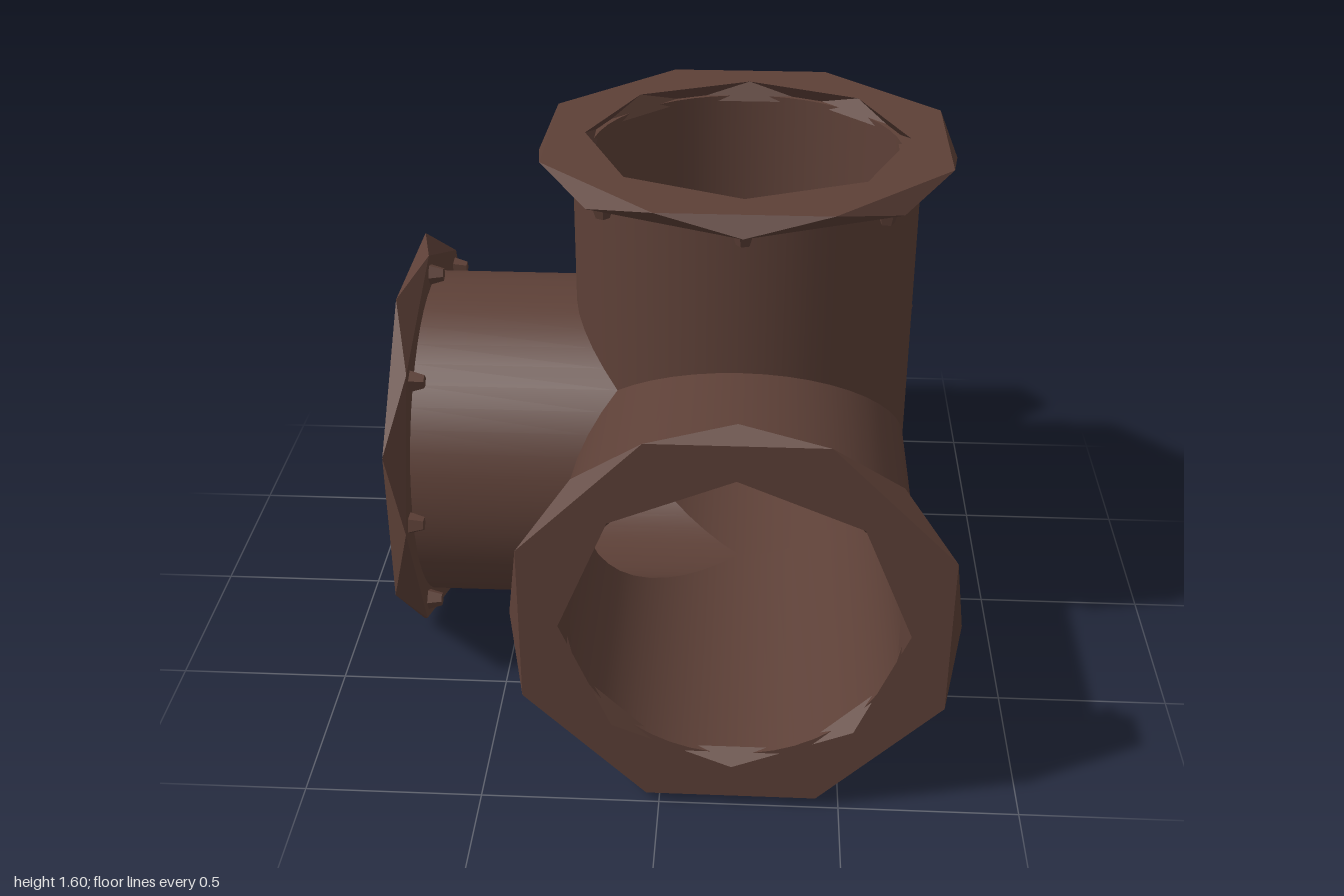
import * as THREE from 'three';

const OUTER = 0.5, INNER = 0.45, PIPE_END = 0.96, SIDES = 8, SEGMENTS = 48;

const brown = new THREE.MeshStandardMaterial({ color: 0x5d4037 });
brown.name = 'rusty brown';

// The four arms of the junction, each one unit long
const arms = [
  { name: 'frontArm', dir: new THREE.Vector3(0, 0, 1) },
  { name: 'backArm', dir: new THREE.Vector3(0, 0, -1) },
  { name: 'rightArm', dir: new THREE.Vector3(-1, 0, 0) },
  { name: 'topArm', dir: new THREE.Vector3(0, 1, 0) },
];

function part(geometry, name) {
  const mesh = new THREE.Mesh(geometry, brown);
  mesh.name = name;
  return mesh;
}

// Pipe wall along +y, starting on the mitre line where it meets the other arms
function pipeWall(radius, others, inward) {
  const pos = [], nor = [], idx = [];
  const s = inward ? -1 : 1;
  for (let i = 0; i <= SEGMENTS; i++) {
    const a = (i / SEGMENTS) * Math.PI * 2;
    const n = new THREE.Vector3(Math.cos(a), 0, Math.sin(a));
    const start = radius * Math.max(0, ...others.map((b) => n.dot(b)));
    for (const y of [start, PIPE_END]) {
      pos.push(n.x * radius, y, n.z * radius);
      nor.push(n.x * s, 0, n.z * s);
    }
    if (i === SEGMENTS) break;
    const k = i * 2;
    if (inward) idx.push(k, k + 2, k + 1, k + 1, k + 2, k + 3);
    else idx.push(k, k + 1, k + 2, k + 1, k + 3, k + 2);
  }
  const g = new THREE.BufferGeometry();
  g.setAttribute('position', new THREE.Float32BufferAttribute(pos, 3));
  g.setAttribute('normal', new THREE.Float32BufferAttribute(nor, 3));
  g.setIndex(idx);
  return g;
}

// Faceted flange: four octagonal loops, each turned half a step from the last
function flangeGeometry() {
  const loops = [[0.465, 1], [0.615, 1], [0.6, 0.945], [0.475, 0.945], [0.465, 1]];
  const point = (k, i) => {
    const a = ((i + k / 2) / SIDES) * Math.PI * 2;
    return [Math.cos(a) * loops[k][0], loops[k][1], Math.sin(a) * loops[k][0]];
  };
  const pos = [];
  for (let k = 0; k < loops.length - 1; k++) {
    for (let i = 0; i < SIDES; i++) {
      pos.push(...point(k, i), ...point(k, i + 1), ...point(k + 1, i));
      pos.push(...point(k, i + 1), ...point(k + 1, i + 1), ...point(k + 1, i));
    }
  }
  const g = new THREE.BufferGeometry();
  g.setAttribute('position', new THREE.Float32BufferAttribute(pos, 3));
  g.computeVertexNormals();
  return g;
}

// Small tapered bolt head hanging under the flange
function boltGeometry() {
  const g = new THREE.CylinderGeometry(0.034, 0.02, 0.045, 5).toNonIndexed();
  g.computeVertexNormals();
  return g;
}

export function createModel() {
  const model = new THREE.Group();
  model.name = 'pipeJunction';
  const flange = flangeGeometry();
  const bolt = boltGeometry();
  const up = new THREE.Vector3(0, 1, 0);

  for (const arm of arms) {
    const group = new THREE.Group();
    group.name = arm.name;
    group.position.set(0.2, 0.6, 0);
    group.quaternion.setFromUnitVectors(up, arm.dir);

    // Directions of the other arms, seen from this one
    const inverse = group.quaternion.clone().invert();
    const others = arms.filter((o) => o !== arm).map((o) => o.dir.clone().applyQuaternion(inverse));

    group.add(part(pipeWall(OUTER, others, false), 'pipeOutside'));
    group.add(part(pipeWall(INNER, others, true), 'pipeInside'));

    // Rim closing the gap between the two walls
    const rim = part(new THREE.RingGeometry(INNER, OUTER, SEGMENTS), 'pipeRim');
    rim.rotation.x = -Math.PI / 2;
    rim.position.y = PIPE_END;
    group.add(rim);

    group.add(part(flange, 'flange'));

    for (let i = 0; i < 8; i++) {
      const a = (i / 8) * Math.PI * 2;
      const b = part(bolt, 'bolt');
      b.position.set(Math.cos(a) * 0.54, 0.926, Math.sin(a) * 0.54);
      b.rotation.y = -a;
      group.add(b);
    }
    model.add(group);
  }
  return model;
}
